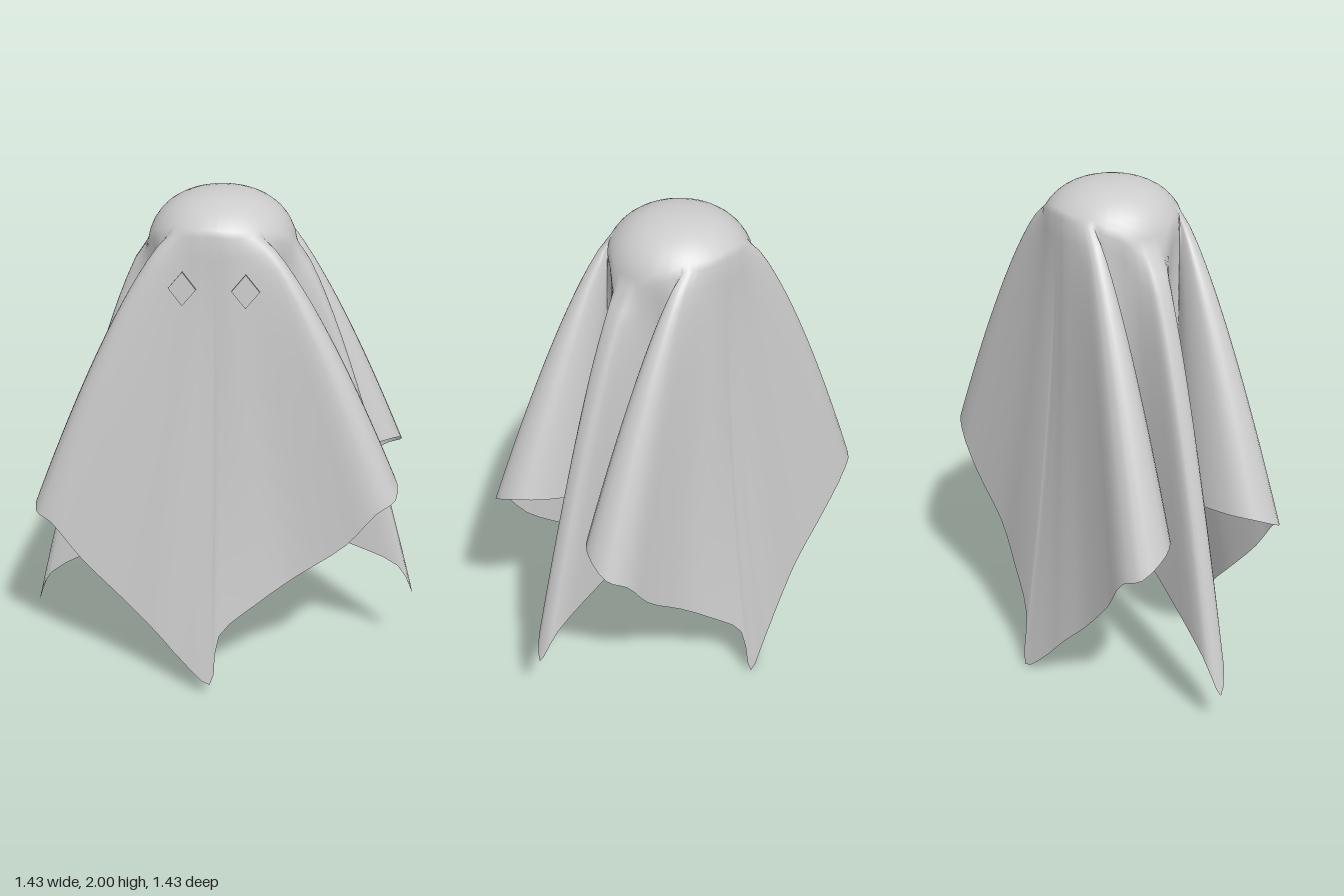
import * as THREE from 'three';

// Plan frame turned 45 degrees: u runs along the thin folds, v across the broad flat sheets
const toXZ = (u, v) => [(u - v) * Math.SQRT1_2, (u + v) * Math.SQRT1_2];

// Ribs of the cloth: [u, v, hem height, direction on the head, how far down the head it starts, flare power]
const CORNER = [0, 0.42, 0.035, 90, 1.0, 1.7];
// steep and wide sides of the sheet's hanging corner
const STEEP = [
  [0.035, 0.39, 0.25, 87, 1.0, 1.6],
  [0.18, 0.36, 0.38, 78, 1.02, 1.3],
  [0.33, 0.335, 0.49, 70, 1.03, 1.05],
  [0.52, 0.345, 0.63, 61, 1.05, 0.85],
];
const WIDE = [
  [0.12, 0.39, 0.14, 83, 1.0, 1.5],
  [0.22, 0.37, 0.26, 77, 1.02, 1.3],
  [0.35, 0.345, 0.40, 70, 1.03, 1.05],
  [0.52, 0.345, 0.60, 61, 1.05, 0.85],
];
// wide lobe, valley and thin fold
const FOLD = [
  [0.63, 0.35, 0.765, 55, 1.05, 0.75],
  [0.70, 0.31, 0.805, 52, 1.05, 0.75],
  [0.69, 0.2, 0.862, 50, 1.05, 0.75],
  [0.62, 0.135, 0.87, 48, 1.05, 0.75],
  [0.45, 0.095, 0.84, 46, 1.08, 0.8],
  [0.3, 0.125, 0.77, 42, 1.12, 0.8],
  [0.225, 0.16, 0.69, 36, 1.18, 0.7],
  [0.205, 0.1, 0.65, 25, 1.25, 0.75],
  [0.3, 0.055, 0.6, 17, 1.35, 0.75],
  [0.5, 0.045, 0.5, 11, 1.4, 0.75],
  [0.72, 0.045, 0.38, 6, 1.4, 0.75],
  [0.785, 0, 0.225, 0, 1.4, 0.75],
];
const HEAD_R = 0.285, HEAD_Y = 1.74, APEX_Y = 2;

// Mirror the rows into a closed loop of ribs
function makeRibs() {
  const steep = [CORNER, ...STEEP, ...FOLD], wide = [CORNER, ...WIDE, ...FOLD];
  const place = (rows, su, sv) => rows.map(([u, v, y, deg, start, power]) => {
    const a = THREE.MathUtils.degToRad(deg);
    const [x, z] = toXZ(u * su, v * sv);
    const [dx, dz] = toXZ(Math.cos(a) * su, Math.sin(a) * sv);
    return {
      hem: new THREE.Vector3(x, y + 0.1 * u * su + 0.08 * v * sv, z), // hangs a little unevenly
      top: new THREE.Vector3(dx, start, dz),
      power,
    };
  });
  return [
    ...place(steep, 1, 1),
    ...place(steep.slice(0, -1).reverse(), 1, -1),
    ...place(wide.slice(1), -1, -1),
    ...place(wide.slice(1, -1).reverse(), -1, 1),
  ];
}

// Point on the rounded head in direction d, at angle f from the apex
function headPoint(d, f) {
  const r = HEAD_R * Math.pow(Math.sin(f), 0.86);
  return new THREE.Vector3(d.x * r, HEAD_Y + (APEX_Y - HEAD_Y) * Math.pow(Math.cos(f), 0.82), d.z * r);
}

function drapeGeometry() {
  const ribs = makeRibs();
  const hemCurve = new THREE.CatmullRomCurve3(ribs.map((r) => r.hem), true);
  const topCurve = new THREE.CatmullRomCurve3(ribs.map((r) => r.top), true);
  const n = ribs.length, cols = n * 3, headRows = 9, skirtRows = 20, rows = headRows + skirtRows;
  const pos = [0, APEX_Y, 0], index = [];
  for (let i = 1; i <= rows; i++) {
    for (let j = 0; j < cols; j++) {
      const top = topCurve.getPoint(j / cols);
      if (i <= headRows) {
        pos.push(...headPoint(top, top.y * i / headRows).toArray());
      } else {
        // folds opening out from the head to the hem
        const rim = headPoint(top, top.y), hem = hemCurve.getPoint(j / cols);
        const k = Math.floor(j / 3);
        const p = THREE.MathUtils.lerp(ribs[k].power, ribs[(k + 1) % n].power, j / 3 - k);
        const t = (i - headRows) / skirtRows, s = Math.pow(t, p);
        pos.push(
          THREE.MathUtils.lerp(rim.x, hem.x, s),
          THREE.MathUtils.lerp(rim.y, hem.y, t),
          THREE.MathUtils.lerp(rim.z, hem.z, s),
        );
      }
    }
  }
  const id = (i, j) => 1 + (i - 1) * cols + (j % cols);
  for (let j = 0; j < cols; j++) {
    index.push(0, id(1, j), id(1, j + 1));
    for (let i = 1; i < rows; i++) {
      const a = id(i, j), b = id(i + 1, j), c = id(i + 1, j + 1), d = id(i, j + 1);
      index.push(a, b, c, a, c, d);
    }
  }
  const geo = new THREE.BufferGeometry();
  geo.setAttribute('position', new THREE.Float32BufferAttribute(pos, 3));
  geo.setIndex(index);
  geo.computeVertexNormals();
  return geo;
}

export function createModel() {
  const group = new THREE.Group();
  group.name = 'drapedGhost';
  const cloth = new THREE.MeshStandardMaterial({ color: 0xcccccc, side: THREE.DoubleSide });
  cloth.name = 'pale grey cloth';

  const sheet = new THREE.Mesh(drapeGeometry(), cloth);
  sheet.name = 'drapedSheet';
  group.add(sheet);

  // Diamond eyes, thin plates on the front sheet
  const diamond = new THREE.Shape([
    new THREE.Vector2(0, 0.065), new THREE.Vector2(-0.052, 0),
    new THREE.Vector2(0, -0.065), new THREE.Vector2(0.052, 0),
  ]);
  const eyeGeo = new THREE.ExtrudeGeometry(diamond, { depth: 0.008, bevelEnabled: false });
  for (const [name, u, turn] of [['rightEye', -0.117, -0.05], ['leftEye', 0.117, 0.05]]) {
    const eye = new THREE.Mesh(eyeGeo, cloth);
    const [x, z] = toXZ(u, 0.257);
    eye.position.set(x, 1.7, z);
    eye.rotation.set(-0.06, -Math.PI / 4 + turn, 0, 'YXZ');
    eye.name = name;
    group.add(eye);
  }
  return group;
}
